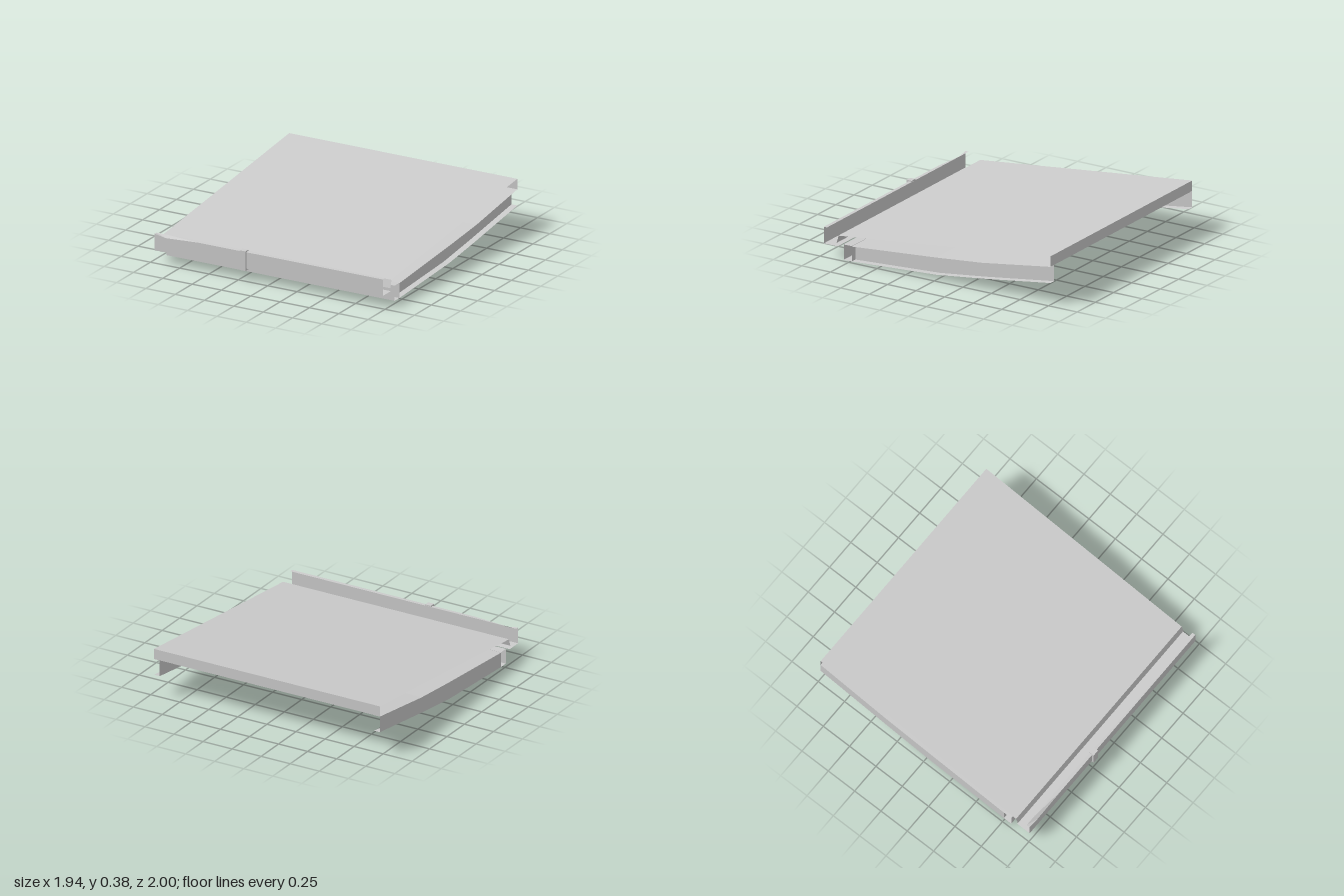
import * as THREE from 'three';

const material = new THREE.MeshStandardMaterial({
  color: 0xcccccc, flatShading: true, side: THREE.DoubleSide,
});
const HALF = 0.972;

// Folded sheet metal: joins matching cross-sections, each a list of [x, y, z]
function sheet(name, sections) {
  const n = sections[0].length;
  const index = [];
  for (let i = 0; i < sections.length - 1; i++) {
    for (let j = 0; j < n - 1; j++) {
      const a = i * n + j, b = a + n;
      index.push(a, b, a + 1, b, b + 1, a + 1);
    }
  }
  let geometry = new THREE.BufferGeometry();
  geometry.setAttribute('position', new THREE.Float32BufferAttribute(sections.flat(2), 3));
  geometry.setIndex(index);
  geometry = geometry.toNonIndexed();
  geometry.computeVertexNormals();
  const mesh = new THREE.Mesh(geometry, material);
  mesh.name = name;
  return mesh;
}

// Sweeps a [z, y] profile straight across the full width
const across = (name, profile) =>
  sheet(name, [-HALF, HALF].map(x => profile.map(([z, y]) => [x, y, z])));

export function createModel() {
  const group = new THREE.Group();
  group.name = 'canopyRoof';

  // Sloping roof with a back fascia and a folded drip edge at the front
  group.add(across('roofPanel', [[-1, 0.303], [-1, 0.385], [0.855, 0.185], [0.873, 0.125]]));

  // Open-ended rectangular tube under the front edge
  group.add(across('frontBeam', [
    [0.74, 0.005], [0.81, 0.005], [0.81, 0.125], [0.74, 0.125], [0.74, 0.005],
  ]));

  // Sagging underside and side channels: [z, bottom, top]
  const sag = [[0.74, 0.005, 0.122], [0, 0.045, 0.18], [-0.4, 0.093, 0.217], [-1, 0.175, 0.302]];
  group.add(across('ceiling', sag.map(([z, , high]) => [z, high + 0.001])));

  // Two identical channels, both opening towards the left
  const flange = 0.05;
  for (const [name, web] of [['leftBeam', HALF - flange], ['rightBeam', -HALF]]) {
    group.add(sheet(name, sag.map(([z, low, high]) => [
      [web + flange, high, z], [web, high, z], [web, low, z], [web + flange, low, z],
    ])));
  }

  // Gutter with a turned-in lip, its front fold dented near the right end: [x, fold height]
  const fold = [[-HALF, 0.23], [-0.88, 0.212], [-0.6, 0.228], [HALF, 0.23]];
  group.add(sheet('gutter', fold.map(([x, h]) => [
    [x, 0.1, 0.865], [x, 0.1, 0.985], [x, h, 0.985], [x, 0.23, 0.957],
  ])));

  // Hooked clip wrapped around the outside of the gutter
  const clip = new THREE.Shape([
    [1, 0.085], [1, 0.24], [0.957, 0.24], [0.957, 0.231], [0.986, 0.231], [0.986, 0.099],
    [0.872, 0.099], [0.872, 0.085],
  ].map(([z, y]) => new THREE.Vector2(-z, y)));
  const clipGeometry = new THREE.ExtrudeGeometry(clip, { depth: 0.05, bevelEnabled: false });
  clipGeometry.rotateY(Math.PI / 2);
  const clipMesh = new THREE.Mesh(clipGeometry, material);
  clipMesh.name = 'gutterClip';
  clipMesh.position.x = -0.24;
  group.add(clipMesh);

  return group;
}
